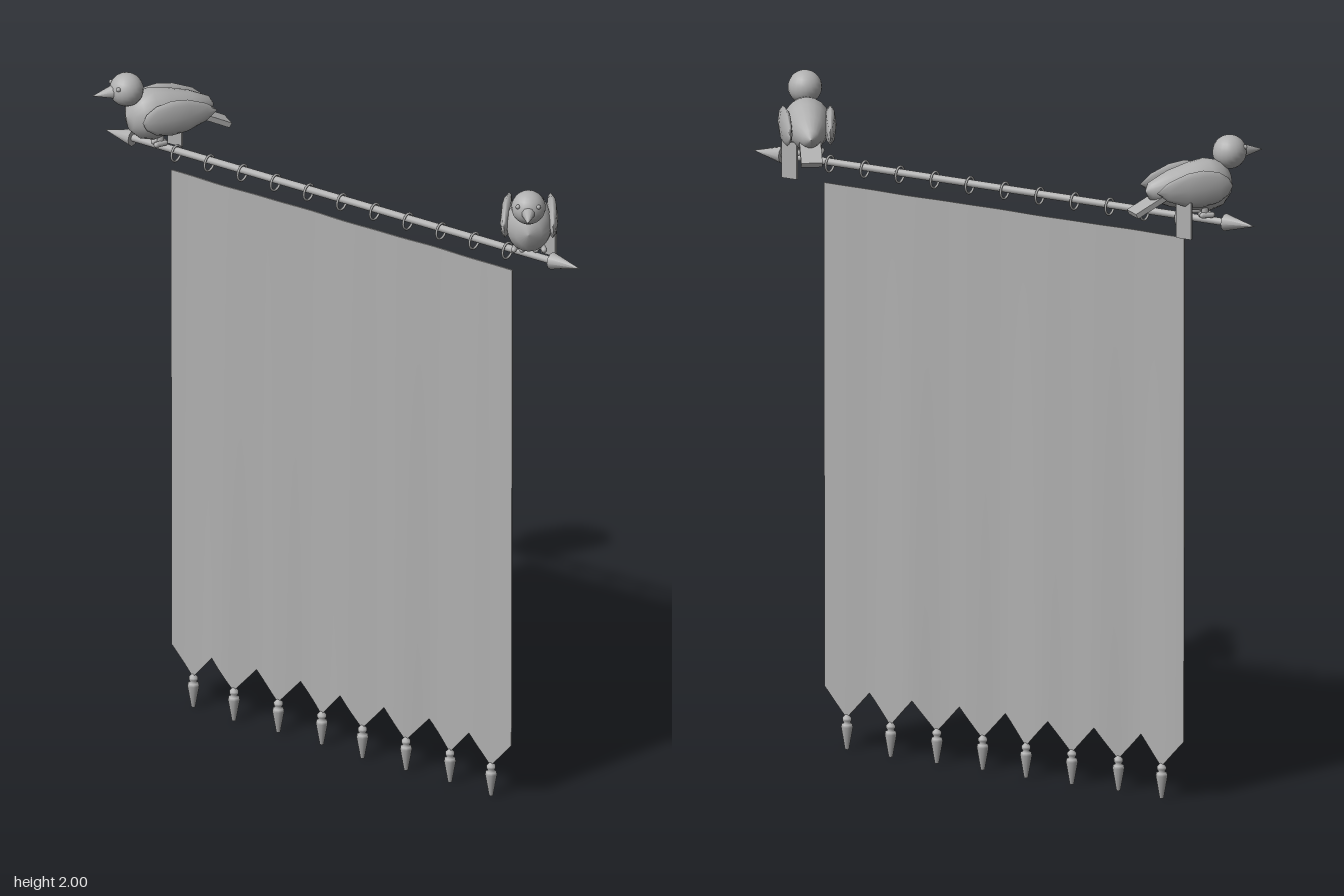
import * as THREE from 'three';

const metal = new THREE.MeshStandardMaterial({ color: 0xb0b0b0 });
metal.name = 'plain grey';

function add(parent, name, geometry, x = 0, y = 0, z = 0) {
  const mesh = new THREE.Mesh(geometry, metal);
  mesh.name = name;
  mesh.position.set(x, y, z);
  parent.add(mesh);
  return mesh;
}

// Lathe from [radius, height] pairs, listed from low to high
const lathe = (pairs, sides) =>
  new THREE.LatheGeometry(pairs.map(([r, h]) => new THREE.Vector2(r, h)), sides);

const WIDTH = 1.215, TOP = 1.695, VALLEY = 0.18, POINT = 0.095, TEETH = 8;
const ROD_Y = 1.76, ROD_Z = 0.012;

// Height of the zigzag hem and depth of the folds
function hem(x) {
  const t = ((x / WIDTH + 0.5) * TEETH) % 1;
  return POINT + (VALLEY - POINT) * Math.abs(2 * t - 1);
}
function fold(x, drop) {
  const wave = 0.65 * Math.sin(x * 13 + 0.6) + 0.35 * Math.sin(x * 29 + 1.5);
  return 0.014 + (0.003 + 0.008 * drop) * wave;
}

function makeCloth() {
  const geo = new THREE.BoxGeometry(WIDTH, 1, 0.005, TEETH * 12, 12, 1);
  const p = geo.attributes.position;
  for (let i = 0; i < p.count; i++) {
    const x = p.getX(i), drop = 0.5 - p.getY(i);
    p.setY(i, TOP + (hem(x) - TOP) * drop);
    p.setZ(i, p.getZ(i) + fold(x, drop));
  }
  geo.computeVertexNormals();
  return geo;
}

// Bird facing +z, standing above the rod
function makeBird() {
  const bird = new THREE.Group();
  bird.name = 'bird';

  const body = lathe([[0, -0.165], [0.025, -0.15], [0.05, -0.09], [0.067, -0.02],
    [0.074, 0.03], [0.065, 0.07], [0.04, 0.097], [0, 0.108]], 20);
  body.rotateX(Math.PI / 2).scale(0.95, 1.06, 1);
  add(bird, 'body', body, 0, 1.862, 0);
  add(bird, 'head', new THREE.SphereGeometry(0.05, 20, 14), 0, 1.951, 0.106);

  const beak = new THREE.ConeGeometry(0.022, 0.07, 10);
  beak.rotateX(Math.PI / 2 + 0.05);
  add(bird, 'beak', beak, 0, 1.948, 0.178);

  const tail = add(bird, 'tail', new THREE.BoxGeometry(0.062, 0.016, 0.14), 0, 1.829, -0.143);
  tail.rotation.x = -0.45;

  for (const side of [-1, 1]) {
    add(bird, 'eye', new THREE.SphereGeometry(0.007, 8, 6), side * 0.03, 1.968, 0.142);

    // Flat leaf-shaped wing with a ridge along its length
    const wing = lathe([[0, -0.155], [0.028, -0.12], [0.05, -0.06], [0.055, -0.01],
      [0.045, 0.04], [0.025, 0.07], [0, 0.083]], 8);
    wing.rotateX(Math.PI / 2).scale(0.32, 1, 1);
    add(bird, 'wing', wing, side * 0.067, 1.868, 0).rotation.y = side * 0.06;

    // Leg and gripping toes
    add(bird, 'leg', new THREE.CylinderGeometry(0.011, 0.011, 0.04, 8), side * 0.032, 1.798, 0.012);
    for (const spread of [-1, 1]) {
      const toe = new THREE.CapsuleGeometry(0.009, 0.028, 4, 8);
      toe.rotateX(Math.PI / 2);
      add(bird, 'toe', toe, side * 0.032 + spread * 0.009, 1.78, 0.015).rotation.y = spread * 0.2;
    }
  }
  return bird;
}

export function createModel() {
  const model = new THREE.Group();
  model.name = 'hanging banner';

  add(model, 'cloth', makeCloth());

  // Tassels on every point of the hem
  const tassel = lathe([[0, 0], [0.006, 0], [0.018, 0.068], [0.016, 0.076], [0.009, 0.08],
    [0.014, 0.088], [0.014, 0.094], [0.005, 0.104], [0, 0.106]], 10);
  for (let i = 0; i < TEETH; i++) {
    const x = ((i + 0.5) / TEETH - 0.5) * WIDTH;
    add(model, 'tassel', tassel, x, 0, fold(x, 1));
  }

  // Rod and the rings along it
  const rod = new THREE.CylinderGeometry(0.011, 0.011, 1.5, 12);
  rod.rotateZ(Math.PI / 2);
  add(model, 'rod', rod, 0, ROD_Y, ROD_Z);
  const ring = new THREE.TorusGeometry(0.024, 0.0035, 8, 20);
  ring.rotateY(Math.PI / 2);
  for (let i = -5; i <= 5; i++) add(model, 'ring', ring, i * 0.1177, 1.753, 0.016);

  for (const side of [-1, 1]) {
    // Pointed rod end
    const tip = new THREE.ConeGeometry(0.026, 0.1, 10);
    tip.rotateZ(-side * Math.PI / 2);
    add(model, 'rodTip', tip, side * 0.794, ROD_Y, ROD_Z);

    const bird = makeBird();
    bird.position.x = side * 0.655;
    bird.rotation.y = side * 0.595;
    model.add(bird);

    // Hanging plate behind the bird
    add(model, 'hangingPlate', new THREE.BoxGeometry(0.05, 0.11, 0.009), side * 0.664, 1.778, -0.086);
  }
  return model;
}
